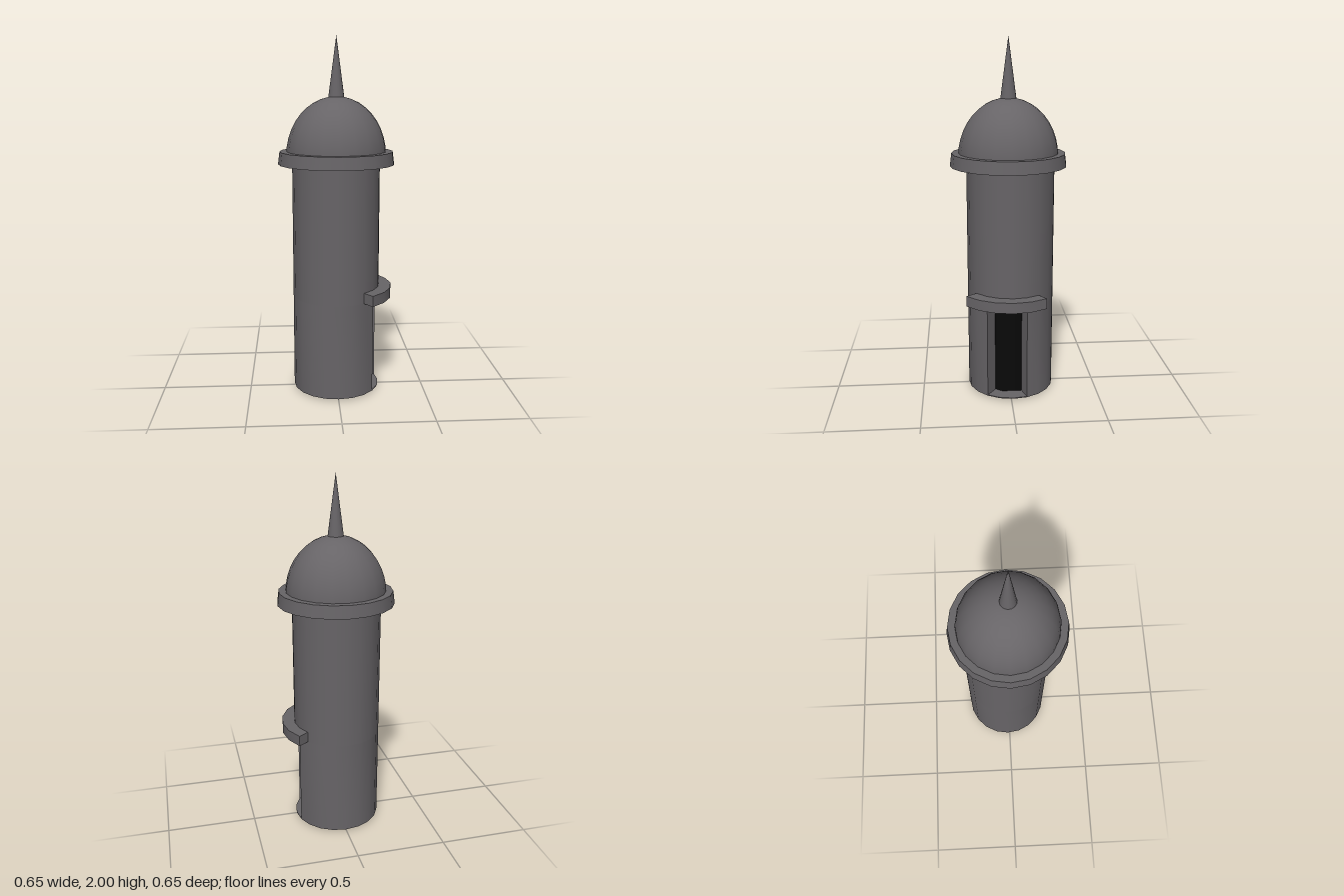
import * as THREE from 'three';
import { toCreasedNormals } from 'three/addons/utils/BufferGeometryUtils.js';

const STEP = Math.PI / 10; // the round parts have 20 sides

// Part of a ring between two facet numbers (0 is +x, positive towards +z)
function ringSector(inner, outer, from, to, y0, y1) {
  const at = (r, i) => new THREE.Vector2(r * Math.cos(i * STEP), -r * Math.sin(i * STEP));
  const points = [];
  for (let i = from; i <= to; i++) points.push(at(outer, i));
  for (let i = to; i >= from; i--) points.push(at(inner, i));
  const geo = new THREE.ExtrudeGeometry(new THREE.Shape(points), { depth: y1 - y0, bevelEnabled: false });
  geo.rotateX(-Math.PI / 2).translate(0, y0, 0);
  return toCreasedNormals(geo, 0.6);
}

export function createModel() {
  const group = new THREE.Group();
  const stone = new THREE.MeshStandardMaterial({ color: 0x676467 });
  stone.name = 'grey stone';
  const dark = new THREE.MeshStandardMaterial({ color: 0x090909 });
  dark.name = 'dark interior';

  const add = (name, geo, mat, x = 0, y = 0, z = 0) => {
    const mesh = new THREE.Mesh(geo, mat);
    mesh.name = name;
    mesh.position.set(x, y, z);
    group.add(mesh);
  };
  const bodyZ = -0.012;

  // Shaft: solid above, with a three-facet doorway below
  const upper = new THREE.CylinderGeometry(0.245, 0.245, 0.765, 20);
  add('upperShaft', upper, stone, 0, 0.9325, bodyZ);
  add('lowerShaft', ringSector(0.165, 0.245, 2, 19, 0.01, 0.55), stone, 0, 0, bodyZ);
  add('doorSill', ringSector(0.155, 0.245, -1, 2, 0.01, 0.015), stone, 0, 0, bodyZ);
  add('interior', new THREE.CylinderGeometry(0.188, 0.188, 0.552, 10), dark, -0.02, 0.276, bodyZ);

  // Curved canopy over the doorway
  add('doorCanopy', ringSector(0.235, 0.314, -2, 3, 0.55, 0.61), stone, 0, 0, -0.008);

  // Cornice, dome and spire
  add('cornice', new THREE.CylinderGeometry(0.314, 0.323, 0.07, 20), stone, 0, 1.34, 0);
  const dome = new THREE.SphereGeometry(1, 20, 10, 0, Math.PI * 2, 0, Math.PI / 2);
  dome.scale(0.277, 0.325, 0.277);
  add('dome', dome, stone, 0, 1.35, 0);
  add('spire', new THREE.ConeGeometry(0.045, 0.34, 16), stone, 0, 1.83, 0);

  return group;
}
